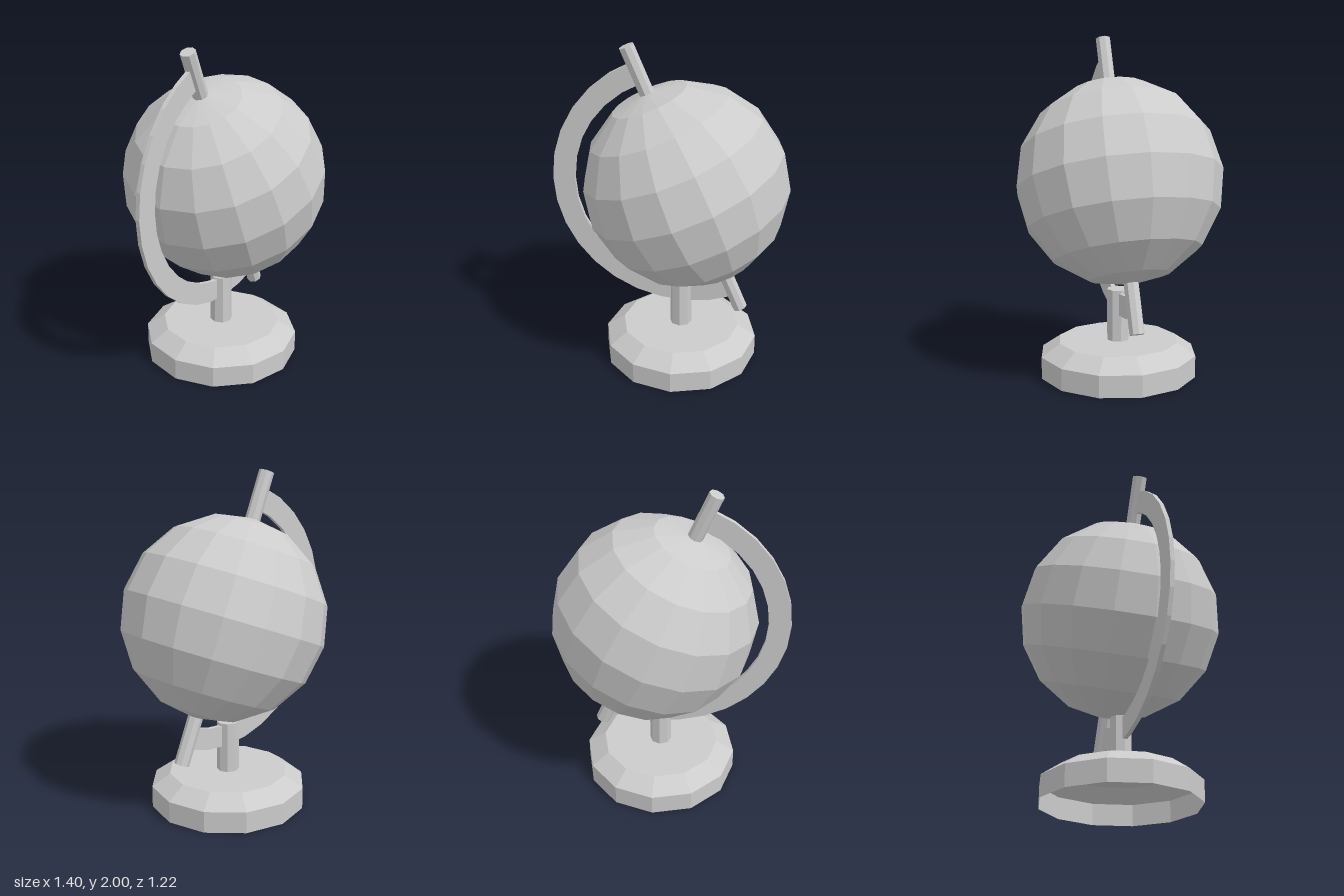
import * as THREE from 'three';

const CX = 0.095, CY = 1.16;    // globe centre
const POST_X = 0.067;           // centre of the base and post
const TILT = Math.PI / 8;

export function createModel() {
  const model = new THREE.Group();
  const solid = new THREE.MeshStandardMaterial({ color: 0xcccccc, flatShading: true });
  const open = new THREE.MeshStandardMaterial({ color: 0xcccccc, flatShading: true, side: THREE.DoubleSide });

  function add(parent, name, geometry, material, x = 0, y = 0) {
    const mesh = new THREE.Mesh(geometry, material);
    mesh.name = name;
    mesh.position.set(x, y, 0);
    parent.add(mesh);
    return mesh;
  }

  // Hollow bevelled base, open underneath, with a hole below the post
  const profile = [[0.47, 0], [0.47, 0.13], [0.36, 0.205], [0.06, 0.205]]
    .map(([r, y]) => new THREE.Vector2(r, y));
  add(model, 'base', new THREE.LatheGeometry(profile, 12), open, POST_X);

  // Post: a tube open at the bottom and closed at the top
  const postProfile = [[0.067, 0.2], [0.067, 0.515], [0, 0.515]]
    .map(([r, y]) => new THREE.Vector2(r, y));
  add(model, 'post', new THREE.LatheGeometry(postProfile, 8), open, POST_X);

  // Tilted assembly: globe, axis rod and the half-ring that carries them
  const tilted = new THREE.Group();
  tilted.name = 'tiltedGlobe';
  tilted.position.set(CX, CY, 0);
  tilted.rotation.z = TILT;
  model.add(tilted);

  add(tilted, 'globe', new THREE.SphereGeometry(0.608, 16, 8), solid);
  add(tilted, 'axisRod', new THREE.CylinderGeometry(0.045, 0.045, 1.784, 8), solid);

  // Flat half-ring from the upper end of the rod round to the lower one
  const outer = 0.797, inner = 0.665, steps = 16, thickness = 0.026;
  const points = [];
  const arcPoint = (r, i) => {
    const a = Math.PI / 2 + (Math.PI * i) / steps;
    points.push(new THREE.Vector2(r * Math.cos(a), r * Math.sin(a)));
  };
  for (let i = 0; i <= steps; i++) arcPoint(outer, i);
  for (let i = steps; i >= 0; i--) arcPoint(inner, i);
  const arc = new THREE.ExtrudeGeometry(new THREE.Shape(points), { depth: thickness, bevelEnabled: false });
  arc.translate(0, 0, -thickness / 2);
  add(tilted, 'supportArc', arc, solid);

  return model;
}
